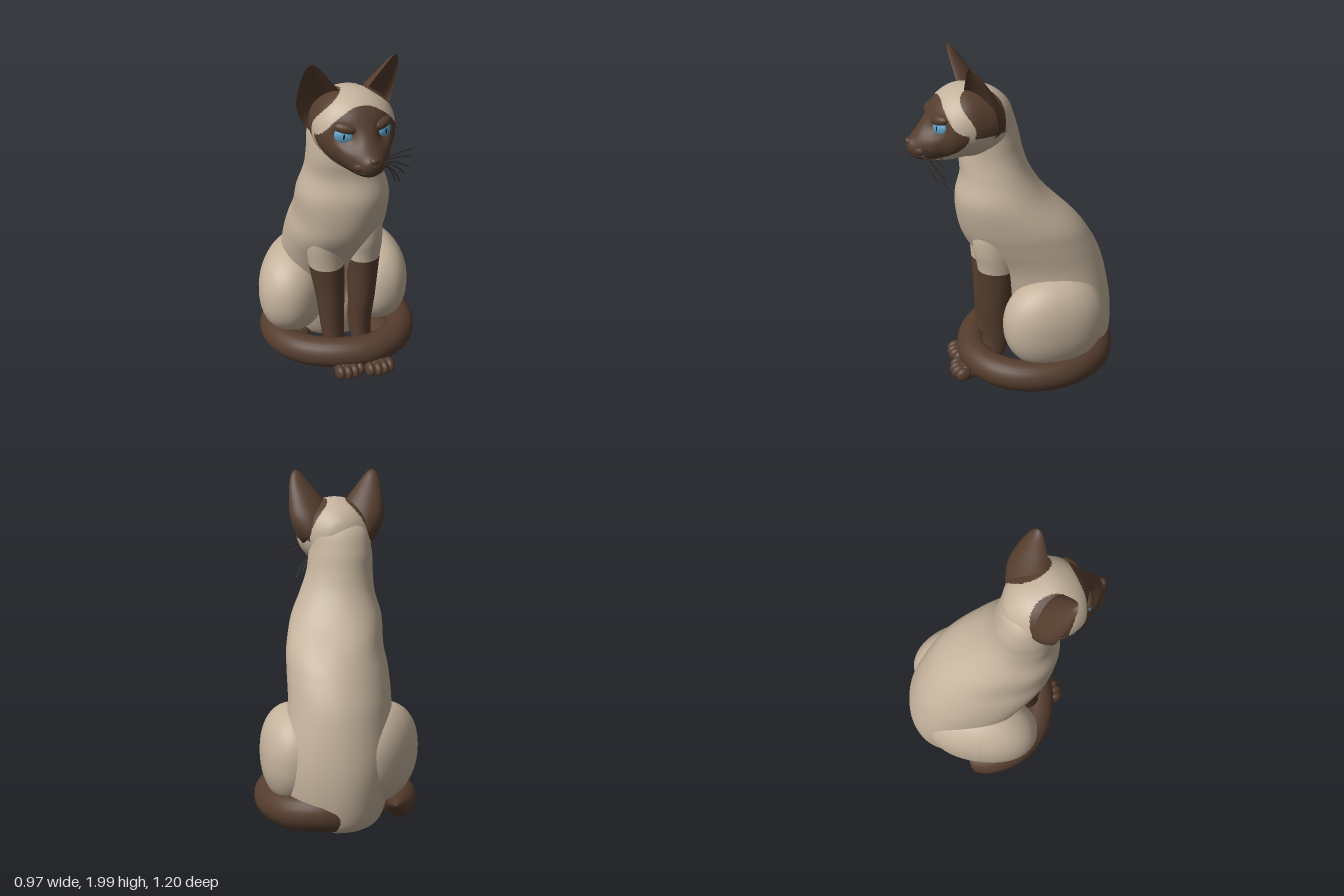
import * as THREE from 'three';
import { toCreasedNormals } from 'three/addons/utils/BufferGeometryUtils.js';

const mat = (name, color) => Object.assign(new THREE.MeshStandardMaterial({ color }), { name });

// Catmull-Rom smoothing of rows of numbers
function smooth(rows, n) {
  const out = [];
  const at = (i) => rows[Math.min(Math.max(i, 0), rows.length - 1)];
  for (let i = 0; i < rows.length - 1; i++) {
    for (let k = 0; k < n; k++) {
      const t = k / n, [a, b, c, d] = [at(i - 1), at(i), at(i + 1), at(i + 2)];
      out.push(b.map((v, m) => v + 0.5 * t * (c[m] - a[m] + t * (2 * a[m] - 5 * v + 4 * c[m] - d[m]
        + t * (3 * (v - c[m]) + d[m] - a[m])))));
    }
  }
  out.push(rows[rows.length - 1]);
  return out;
}

// Section shapes: plain oval, slightly boxy oval, and scooped crescent
const oval = (a) => [Math.cos(a), Math.sin(a)];
const full = (c) => Math.sign(c) * Math.abs(c) ** 0.91;
const fullOval = (a) => oval(a).map(full);
const scoop = (a) => [Math.cos(a), Math.sin(a) * (Math.sin(a) > 0 ? -0.5 : 1)];

// Skin over rings [y, cx, cz, rx, rz]; isSecond(x, y, z) puts a face in the second colour group
function loft(rows, { seg = 40, n = 6, shape = oval, isSecond = () => false } = {}) {
  const rings = smooth(rows, n), pos = [], first = [], second = [];
  for (const [y, cx, cz, rx, rz] of rings) {
    for (let j = 0; j < seg; j++) {
      const [u, v] = shape((j / seg) * Math.PI * 2);
      pos.push(cx + u * Math.max(rx, 0.001), y, cz + v * Math.max(rz, 0.001));
    }
  }
  const face = (...ids) => {
    const mid = [0, 1, 2].map((m) => ids.reduce((s, i) => s + pos[i * 3 + m], 0) / 3);
    (isSecond(...mid) ? second : first).push(...ids);
  };
  for (let i = 0; i < rings.length - 1; i++) {
    for (let j = 0; j < seg; j++) {
      const k = (j + 1) % seg, a = i * seg + j, b = i * seg + k, c = a + seg, d = b + seg;
      face(a, c, b);
      face(b, c, d);
    }
  }
  const g = new THREE.BufferGeometry();
  g.setAttribute('position', new THREE.Float32BufferAttribute(pos, 3));
  g.setIndex([...first, ...second]);
  g.addGroup(0, first.length, 0);
  g.addGroup(first.length, second.length, 1);
  g.computeVertexNormals();
  return g;
}

export function createModel() {
  const cat = new THREE.Group();
  cat.name = 'sittingCat';
  const cream = mat('creamFur', 0xc4b29c);
  const brown = mat('brownFur', 0x553d2e);
  const blue = mat('blueIris', 0x5a9fc6);
  const black = mat('blackPupil', 0x1a1512);
  const whiskerMat = mat('whisker', 0x33261f);

  const add = (parent, name, geo, material) => {
    const m = new THREE.Mesh(geo, material);
    m.name = name;
    parent.add(m);
    return m;
  };
  const ball = (parent, name, material, p, s) => {
    const m = add(parent, name, new THREE.SphereGeometry(1, 32, 20), material);
    m.position.set(...p);
    m.scale.set(...s);
    return m;
  };

  // Trunk and neck: [y, xMin, xMax, zBack, zFront]
  const trunk = [
    [0.02, -0.05, -0.04, -0.3, -0.29], [0.022, -0.22, 0.14, -0.48, -0.1], [0.07, -0.31, 0.2, -0.55, -0.02],
    [0.25, -0.35, 0.25, -0.58, 0.04], [0.45, -0.36, 0.265, -0.57, 0.07], [0.7, -0.34, 0.25, -0.515, 0.2],
    [0.87, -0.305, 0.275, -0.44, 0.305], [1.0, -0.265, 0.295, -0.35, 0.345], [1.16, -0.24, 0.295, -0.18, 0.357],
    [1.3, -0.195, 0.25, -0.085, 0.325], [1.42, -0.178, 0.215, -0.04, 0.33], [1.55, -0.17, 0.2, -0.01, 0.31],
    [1.68, -0.125, 0.185, 0.035, 0.27], [1.76, 0.02, 0.04, 0.14, 0.16],
  ].map(([y, a, b, c, d]) => [y, (a + b) / 2, (c + d) / 2, (b - a) / 2, (d - c) / 2]);
  add(cat, 'trunk', loft(trunk, { seg: 56, shape: fullOval }), cream);

  // Haunches: spheres made slightly fuller, toes pointing outwards
  for (const [name, p, s, yaw] of [
    ['leftHaunch', [0.212, 0.4, -0.235], [0.2, 0.29, 0.312], 0.36],
    ['rightHaunch', [-0.26, 0.4, -0.12], [0.215, 0.29, 0.35], -0.2],
  ]) {
    const g = new THREE.SphereGeometry(1, 48, 32), v = g.attributes.position;
    for (let i = 0; i < v.count; i++) v.setXYZ(i, full(v.getX(i)), full(v.getY(i)), full(v.getZ(i)));
    g.computeVertexNormals();
    const m = add(cat, name, g, cream);
    m.position.set(...p);
    m.scale.set(...s);
    m.rotation.y = yaw;
  }

  // Front legs, brown up to the elbow, merging into the chest
  const legs = {
    leftFrontLeg: [[0.03, 0.19, 0.18, 0.05, 0.06], [0.2, 0.137, 0.12, 0.066, 0.082], [0.45, 0.145, 0.115, 0.082, 0.096],
      [0.72, 0.152, 0.11, 0.1, 0.112], [0.86, 0.158, 0.125, 0.106, 0.122], [0.98, 0.15, 0.125, 0.1, 0.118],
      [1.08, 0.12, 0.11, 0.06, 0.08], [1.14, 0.1, 0.1, 0.005, 0.005]],
    rightFrontLeg: [[0.03, 0.02, 0.24, 0.05, 0.06], [0.2, -0.025, 0.18, 0.066, 0.08], [0.45, -0.042, 0.172, 0.084, 0.092],
      [0.69, -0.065, 0.165, 0.106, 0.112], [0.86, -0.085, 0.165, 0.11, 0.125], [0.98, -0.085, 0.155, 0.1, 0.118],
      [1.08, -0.07, 0.14, 0.06, 0.08], [1.14, -0.05, 0.12, 0.005, 0.005]],
  };
  for (const [name, rows] of Object.entries(legs)) {
    add(cat, name, loft(rows, { isSecond: (x, y) => y < rows[3][0] }), [cream, brown]);
  }

  // Paws with four toes
  const paw = (name, x, z, yaw, length) => {
    const g = new THREE.Group();
    g.name = name;
    g.position.set(x, 0, z);
    g.rotation.y = yaw;
    ball(g, 'pad', brown, [0, 0.058, 0], [0.086, 0.05, length]);
    [-0.062, -0.021, 0.021, 0.062].forEach((tx) =>
      ball(g, 'toe', brown, [tx, 0.054, length - 0.025 - Math.abs(tx) * 0.35], [0.03, 0.045, 0.05]));
    cat.add(g);
  };
  paw('leftFrontPaw', 0.22, 0.24, 0.38, 0.14);
  paw('rightFrontPaw', 0.04, 0.272, 0.38, 0.14);
  paw('leftHindPaw', 0.275, -0.12, 0.3, 0.22);
  paw('rightHindPaw', -0.25, -0.1, -0.1, 0.2);

  // Tail wrapped round the feet, thicker at the root, rounded at both ends
  const path = new THREE.CatmullRomCurve3([
    [-0.14, 0.125, -0.43], [0, 0.14, -0.48], [0.16, 0.125, -0.46], [0.32, 0.115, -0.32], [0.39, 0.115, -0.1],
    [0.345, 0.12, 0.1], [0.2, 0.125, 0.24], [0, 0.125, 0.275], [-0.2, 0.115, 0.225], [-0.34, 0.105, 0.1],
    [-0.4, 0.102, -0.06], [-0.39, 0.1, -0.22],
  ].map((p) => new THREE.Vector3(...p)));
  const tail = new THREE.TubeGeometry(path, 120, 0.096, 24), tv = tail.attributes.position;
  for (let i = 0, v = new THREE.Vector3(); i < tv.count; i++) {
    const u = Math.floor(i / 25) / 120, c = path.getPointAt(u), e = Math.min(1, Math.min(u, 1 - u) / 0.04);
    const thick = 1 + 0.28 * Math.max(0, 1 - u / 0.25) - 0.08 * u;
    v.fromBufferAttribute(tv, i).sub(c).multiplyScalar(Math.sqrt(Math.max(0.0001, 1 - (1 - e) ** 2)) * thick).add(c);
    tv.setXYZ(i, v.x, v.y, v.z);
  }
  add(cat, 'tail', tail, brown);

  // Head, turned to its left; rings run from nape to nose: [depth, 0, -centreY, halfWidth, halfHeight]
  const head = new THREE.Group();
  head.name = 'head';
  head.position.set(0.06, 1.62, 0.24);
  head.rotation.y = 0.36;
  cat.add(head);
  const skull = [
    [-0.23, 0, 0, 0.005, 0.005], [-0.205, 0, 0, 0.09, 0.1], [-0.12, 0, -0.005, 0.185, 0.175], [0, 0, -0.012, 0.225, 0.205],
    [0.08, 0, -0.015, 0.23, 0.205], [0.16, 0, 0.005, 0.208, 0.195], [0.22, 0, 0.03, 0.165, 0.17], [0.27, 0, 0.065, 0.132, 0.13],
    [0.31, 0, 0.09, 0.1, 0.1], [0.35, 0, 0.108, 0.068, 0.064], [0.378, 0, 0.105, 0.038, 0.036], [0.388, 0, 0.1, 0.004, 0.004],
  ];
  // Brown face mask peaking on the forehead, and brown patches round the ear roots
  const isBrown = (x, depth, negY) => {
    const y = -negY, ax = Math.abs(x);
    const mask = y > 0 ? depth > 0.085 && y < 0.168 - 3.2 * ax * ax : depth > 0.085 + 6 * y * y;
    return mask || (y > -0.02 && Math.hypot((ax - 0.15) / 0.095, (depth + 0.015) / 0.125) < 1);
  };
  const skin = loft(skull, { seg: 160, n: 14, isSecond: isBrown }).rotateX(Math.PI / 2);
  const EYE = [0.108, 0.022], SOCKET = 0.045, sv = skin.attributes.position;
  for (let i = 0; i < sv.count; i++) {
    const z = sv.getZ(i), r = Math.hypot(Math.abs(sv.getX(i)) - EYE[0], sv.getY(i) - EYE[1]);
    if (z > 0.1) sv.setZ(i, z - SOCKET * Math.exp(-((r / 0.05) ** 2)));
  }
  skin.computeVertexNormals();
  add(head, 'skullAndMask', skin, [cream, brown]);
  const samples = smooth(skull, 20).reverse();
  const faceDepth = (x, y) => samples.find((r) => (x / r[3]) ** 2 + ((y + r[2]) / r[4]) ** 2 <= 1)[0];

  // Nose and mouth
  ball(head, 'nose', brown, [0, -0.075, 0.37], [0.026, 0.02, 0.022]);
  const lip = [-0.085, -0.05, -0.02, 0, 0.02, 0.05, 0.085].map((x) => {
    const y = -0.155 + Math.abs(x) * 0.12;
    return new THREE.Vector3(x, y, faceDepth(x, y));
  });
  add(head, 'mouth', new THREE.TubeGeometry(new THREE.CatmullRomCurve3(lip), 30, 0.004, 6), whiskerMat);

  for (const s of [1, -1]) {
    const side = s > 0 ? 'left' : 'right';
    ball(head, side + 'Muzzle', brown, [s * 0.042, -0.115, 0.305], [0.055, 0.04, 0.055]);

    // Eye with hooded lid, iris and pupil, set into the socket
    const eye = new THREE.Group();
    eye.name = side + 'Eye';
    eye.position.set(s * EYE[0], EYE[1], faceDepth(...EYE) - SOCKET - 0.005);
    eye.rotation.set(-0.05, s * 0.42, s * 0.2);
    ball(eye, 'lid', brown, [0, 0.044, 0], [0.066, 0.032, 0.036]);
    ball(eye, 'iris', blue, [0, 0, 0], [0.057, 0.045, 0.031]);
    ball(eye, 'pupil', black, [0, 0.002, 0.004], [0.012, 0.032, 0.029]);
    head.add(eye);

    // Ear: scooped in front, round behind
    const ear = [
      [-0.07, 0, 0, 0.03, 0.04], [0, -0.005, 0, 0.1, 0.115], [0.1, -0.012, 0.025, 0.14, 0.118], [0.2, 0.004, 0.06, 0.114, 0.088],
      [0.3, 0.024, 0.1, 0.068, 0.05], [0.36, 0.032, 0.123, 0.032, 0.025], [0.382, 0.034, 0.13, 0.004, 0.004],
    ].map(([y, cx, ...rest]) => [y, cx * s, ...rest]);
    const m = add(head, side + 'Ear', toCreasedNormals(loft(ear, { shape: scoop }), 0.9), brown);
    m.position.set(s * 0.15, 0, -0.03);
    m.rotation.y = s * 0.4;
  }

  // Whiskers on the left cheek
  [[0.285, -0.11, 0.225], [0.27, -0.15, 0.23], [0.26, -0.21, 0.235], [0.24, -0.25, 0.22], [0.22, -0.3, 0.21], [0.17, -0.27, 0.26]]
    .forEach((tip, i) => {
      const root = new THREE.Vector3(0.08, -0.1 - 0.007 * i, 0.32), end = new THREE.Vector3(...tip);
      const mid = root.clone().lerp(end, 0.5).add(new THREE.Vector3(0.01, 0.025, 0.01));
      add(head, 'whisker', new THREE.TubeGeometry(new THREE.QuadraticBezierCurve3(root, mid, end), 12, 0.0025, 5), whiskerMat);
    });

  return cat;
}
